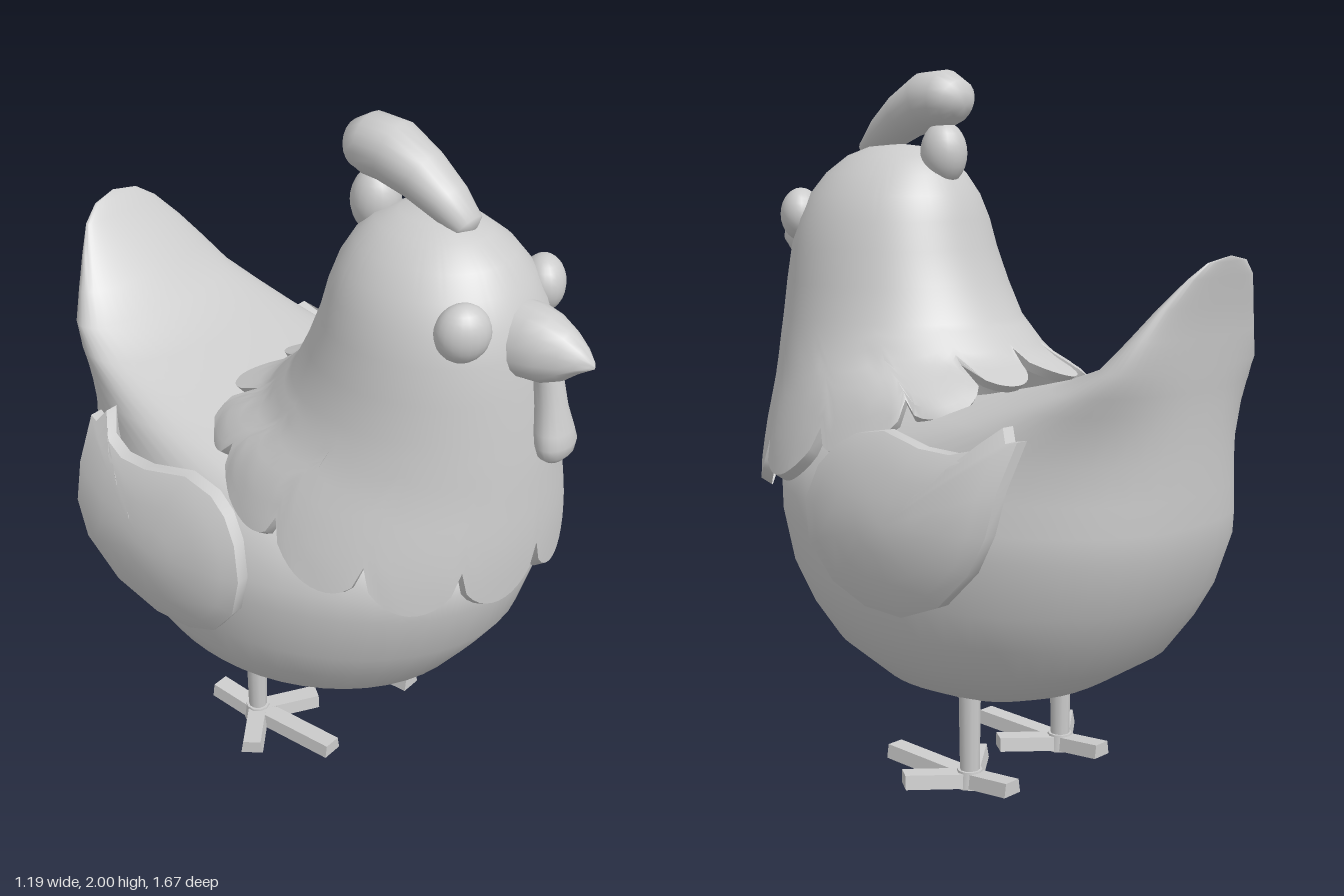
import * as THREE from 'three';
import { toCreasedNormals } from 'three/addons/utils/BufferGeometryUtils.js';

const material = new THREE.MeshStandardMaterial({ color: 0xcccccc, side: THREE.DoubleSide });
const V = (x, y, z) => new THREE.Vector3(x, y, z);
const TAU = Math.PI * 2;
const lerp = THREE.MathUtils.lerp;

// Skin a list of closed rings with the same number of points
function loft(rings, crease = 0.9) {
  const n = rings[0].length, index = [];
  for (let i = 0; i < rings.length - 1; i++) {
    for (let j = 0; j < n; j++) {
      const a = i * n + j, b = i * n + (j + 1) % n;
      index.push(a, b, a + n, b, b + n, a + n);
    }
  }
  const geometry = new THREE.BufferGeometry().setFromPoints(rings.flat());
  geometry.setIndex(index);
  return toCreasedNormals(geometry, crease);
}

const around = (n, fn) => Array.from({ length: n }, (_, j) => fn((j / n) * TAU));

// Point on a horizontal oval section [y, zFront, zBack, halfWidth]; angle 0 is the front.
// A rearPower below 1 makes the rear half fuller.
function onSection([y, zf, zb, w], t, rearPower = 1) {
  const s = Math.sin(t), c = Math.cos(t);
  const side = c < 0 ? Math.sign(s) * Math.abs(s) ** rearPower : s;
  return V(w * side, y, (zf + zb) / 2 + (zf - zb) / 2 * c);
}

// Section of a list at height y
function sectionAt(rows, y) {
  let i = 0;
  while (i < rows.length - 2 && rows[i + 1][0] < y) i++;
  const f = (y - rows[i][0]) / (rows[i + 1][0] - rows[i][0]);
  return rows[i].map((v, k) => lerp(v, rows[i + 1][k], f));
}

const BODY = [
  [0.215, -0.1, -0.1, 0], [0.225, 0.03, -0.17, 0.1], [0.25, 0.16, -0.26, 0.2],
  [0.3, 0.29, -0.4, 0.315], [0.4, 0.45, -0.56, 0.425], [0.5, 0.53, -0.635, 0.485],
  [0.6, 0.6, -0.695, 0.515], [0.75, 0.65, -0.75, 0.53], [0.82, 0.66, -0.757, 0.522],
  [0.9, 0.63, -0.76, 0.497], [1.0, 0.45, -0.765, 0.455], [1.08, 0.02, -0.77, 0.4],
  [1.13, -0.2, -0.775, 0.37], [1.18, -0.4, -0.78, 0.343], [1.24, -0.57, -0.79, 0.305],
  [1.32, -0.65, -0.797, 0.255], [1.4, -0.72, -0.81, 0.2], [1.47, -0.785, -0.825, 0.143],
  [1.51, -0.815, -0.833, 0.085], [1.525, -0.835, -0.835, 0],
];

const NECK = [
  [0.75, 0.7, -0.3, 0.52], [0.9, 0.71, -0.33, 0.5], [1.0, 0.71, -0.34, 0.47],
  [1.1, 0.705, -0.32, 0.43], [1.15, 0.703, -0.26, 0.402], [1.2, 0.7, -0.14, 0.373],
  [1.3, 0.69, -0.045, 0.338], [1.4, 0.68, 0.005, 0.316], [1.5, 0.665, 0.045, 0.295],
  [1.58, 0.645, 0.065, 0.272], [1.65, 0.61, 0.09, 0.238], [1.71, 0.565, 0.125, 0.19],
  [1.76, 0.5, 0.175, 0.13], [1.785, 0.43, 0.24, 0.075], [1.795, 0.335, 0.335, 0],
];

// Head and neck in one skin, ending below in twelve rounded feather lobes
function neckGeometry() {
  const n = 144, steps = 8;
  const edge = (t) => {
    const back = (1 - Math.cos(t)) / 2;
    return 0.8 + 0.36 * back ** 1.5 + lerp(0.13, 0.07, back) * (1 - Math.abs(Math.sin(6 * t)) ** 0.45);
  };
  const rings = [around(n, (t) => {
    const p = onSection(sectionAt(NECK, edge(t)), t);
    return V(p.x * 0.94, p.y - 0.02, lerp(0.2, p.z, 0.94));
  })];
  for (let k = 0; k < steps; k++) {
    rings.push(around(n, (t) => onSection(sectionAt(NECK, lerp(edge(t), 1.3, k / steps)), t)));
  }
  for (const row of NECK.filter((r) => r[0] >= 1.3)) rings.push(around(n, (t) => onSection(row, t)));
  return loft(rings, 0.8);
}

// Wing outline as [z, y], starting at the top
const WING = [
  [0, 1.04], [0.06, 1.005], [0.11, 0.945], [0.14, 0.85], [0.12, 0.74], [0.04, 0.64], [-0.07, 0.588],
  [-0.2, 0.58], [-0.34, 0.635], [-0.45, 0.74], [-0.495, 0.84], [-0.505, 0.95], [-0.515, 1.07],
  [-0.485, 1.065], [-0.46, 1.1], [-0.42, 1.045], [-0.34, 1.025], [-0.24, 1.03], [-0.1, 1.058],
];

function wingGeometry(side) {
  const ring = (s, inset) => {
    const points = WING.map(([pz, py]) => {
      const z = lerp(-0.18, pz, s), y = lerp(0.83, py, s);
      const x = 0.594 - 1.15 * (y - 0.78) ** 2 - 0.3 * (z + 0.12) ** 2 - inset;
      return V(side * x, y, z);
    });
    return side > 0 ? points : points.reverse();
  };
  const scales = [0, 0.3, 0.6, 0.85, 1];
  const inner = scales.map((s) => ring(s, 0.045));
  const outer = scales.map((s) => ring(s, s === 1 ? 0.006 : 0)).reverse();
  return loft([...inner, ...outer], 0.7);
}

// Beak: rings along z as [z, halfWidth, heightAbove, depthBelow]
function beakGeometry() {
  const rows = [[0.55, 0, 0, 0], [0.55, 0.1, 0.12, 0.07], [0.66, 0.102, 0.118, 0.075],
    [0.71, 0.088, 0.107, 0.075], [0.76, 0.064, 0.082, 0.055], [0.8, 0.04, 0.05, 0.022],
    [0.828, 0.016, 0.02, 0.004], [0.837, 0, 0.006, 0]];
  return loft(rows.map(([z, w, up, down]) => around(18, (t) => {
    const s = Math.sin(t);
    return V(w * Math.cos(t), 1.505 + s * (s > 0 ? up : down), z);
  })), 0.7);
}

// Comb: club along a path of [z, y, radius, halfWidth]
function combGeometry() {
  const path = [[0.465, 1.765, 0, 0], [0.445, 1.775, 0.035, 0.05], [0.38, 1.825, 0.055, 0.066],
    [0.3, 1.875, 0.07, 0.077], [0.21, 1.915, 0.084, 0.086], [0.14, 1.92, 0.082, 0.086],
    [0.1, 1.91, 0.064, 0.072], [0.078, 1.903, 0.038, 0.045], [0.068, 1.9, 0, 0]];
  return loft(path.map(([z, y, r, w], i) => {
    const a = path[Math.max(i - 1, 0)], b = path[Math.min(i + 1, path.length - 1)];
    const T = V(0, b[1] - a[1], b[0] - a[0]).normalize();
    return around(20, (t) => V(w * Math.cos(t), y + T.z * r * Math.sin(t), z - T.y * r * Math.sin(t)));
  }), 1.2);
}

export function createModel() {
  const model = new THREE.Group();
  model.name = 'hen';
  const add = (name, geometry, parent = model) => {
    const mesh = new THREE.Mesh(geometry, material);
    mesh.name = name;
    parent.add(mesh);
    return mesh;
  };

  add('bodyAndTail', loft(BODY.map((row) => around(48, (t) => onSection(row, t, 0.8)))));
  add('headAndNeckFeathers', neckGeometry());
  add('beak', beakGeometry());
  add('comb', combGeometry());

  // Small rear lobe of the comb
  const lobe = add('combRearLobe', new THREE.SphereGeometry(1, 20, 14));
  lobe.scale.set(0.068, 0.09, 0.068);
  lobe.position.set(0, 1.768, 0.152);

  // Wattle below the beak
  const wattle = [[1.208, 0.745, 0.745, 0], [1.215, 0.768, 0.722, 0.038], [1.235, 0.785, 0.705, 0.063],
    [1.265, 0.79, 0.695, 0.071], [1.3, 0.782, 0.688, 0.062], [1.36, 0.764, 0.68, 0.046],
    [1.43, 0.748, 0.67, 0.04], [1.48, 0.735, 0.66, 0.04]];
  add('wattle', loft(wattle.map((row) => around(18, (t) => onSection(row, t))), 1.2));

  for (const side of [1, -1]) {
    const label = side > 0 ? 'left' : 'right';
    add(label + 'Wing', wingGeometry(side));

    const eye = add(label + 'Eye', new THREE.SphereGeometry(1, 20, 14));
    eye.scale.set(0.074, 0.078, 0.06);
    eye.position.set(side * 0.18, 1.588, 0.563);
    eye.rotation.y = side * 0.6;

    // Leg with four flat toes: [angle, length]
    const leg = new THREE.Group();
    leg.name = label + 'Leg';
    leg.position.set(side * 0.2, 0, -0.13);
    model.add(leg);
    const shin = add('shin', new THREE.CylinderGeometry(0.032, 0.028, 0.28, 10), leg);
    shin.position.y = 0.17;
    for (const [angle, length] of [[0, 0.3], [0.95, 0.19], [-0.95, 0.19], [Math.PI, 0.16]]) {
      const geometry = new THREE.BoxGeometry(0.066, 0.04, length);
      geometry.translate(0, 0.028, length / 2);
      // Narrow the top and lift the tips slightly
      const p = geometry.attributes.position;
      for (let i = 0; i < p.count; i++) {
        if (p.getY(i) > 0.028) p.setX(i, p.getX(i) * 0.8);
        p.setY(i, p.getY(i) + (p.getZ(i) > 0.01 ? 0.006 : -0.006));
      }
      geometry.computeVertexNormals();
      add('toe', geometry, leg).rotation.y = angle;
    }
    const foot = add('footPad', new THREE.CylinderGeometry(0.036, 0.044, 0.05, 10), leg);
    foot.position.y = 0.025;
  }
  return model;
}
